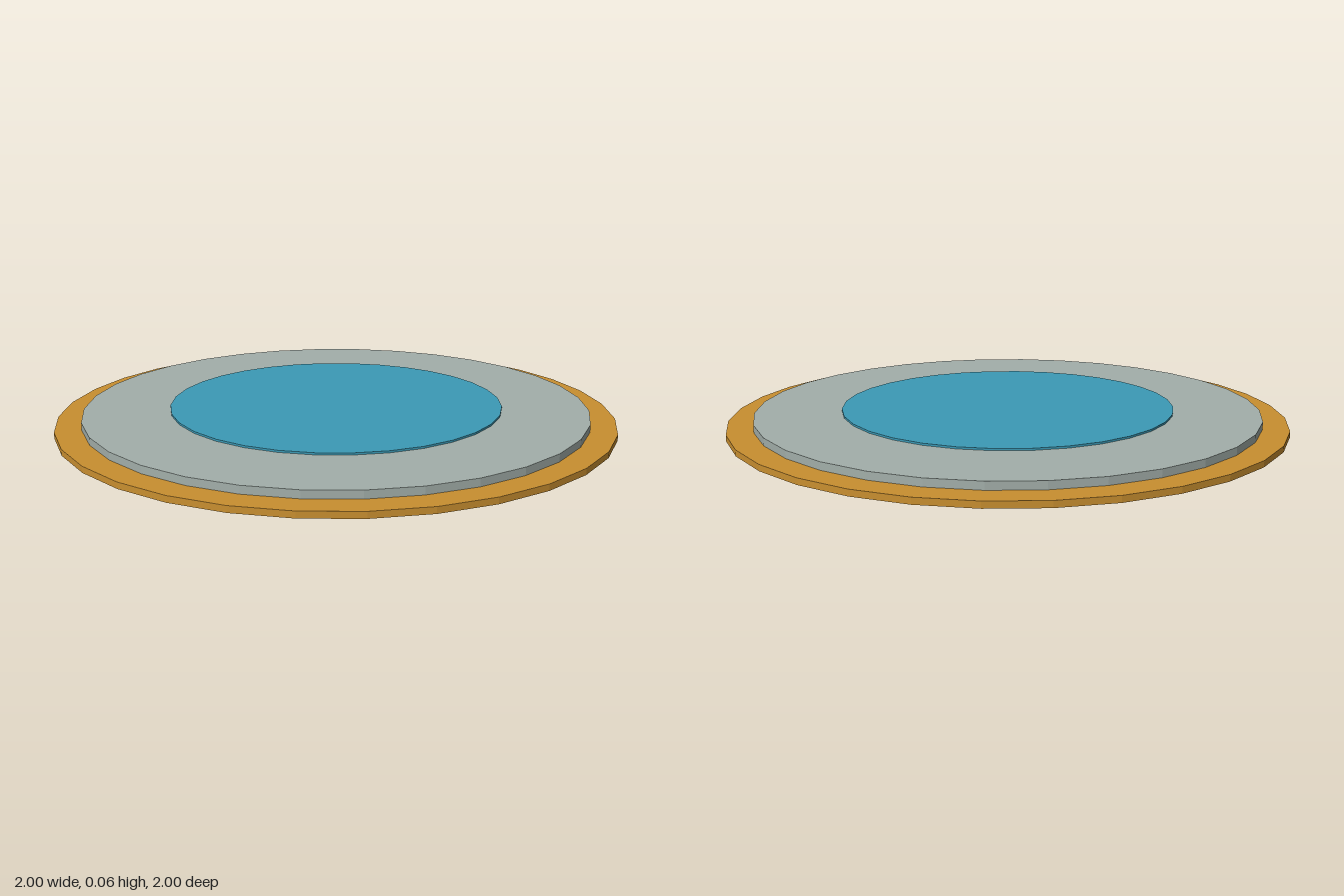
import * as THREE from 'three';

const SIDES = 32;

// One flat disc of the stack, resting between two heights
function disc(name, radius, bottom, top, color) {
  const mesh = new THREE.Mesh(
    new THREE.CylinderGeometry(radius, radius, top - bottom, SIDES),
    new THREE.MeshStandardMaterial({ color, flatShading: true })
  );
  mesh.name = name;
  mesh.position.y = (bottom + top) / 2;
  return mesh;
}

export function createModel() {
  const model = new THREE.Group();
  model.name = 'steppedDisc';
  model.add(
    disc('baseRim', 1, 0, 0.022, 0xc98f30), // wide golden base
    disc('middlePlate', 0.908, 0.022, 0.049, 0xa3afaa), // grey step
    disc('centreInlay', 0.6, 0.049, 0.056, 0x3c9ab6) // thin blue centre
  );
  return model;
}
